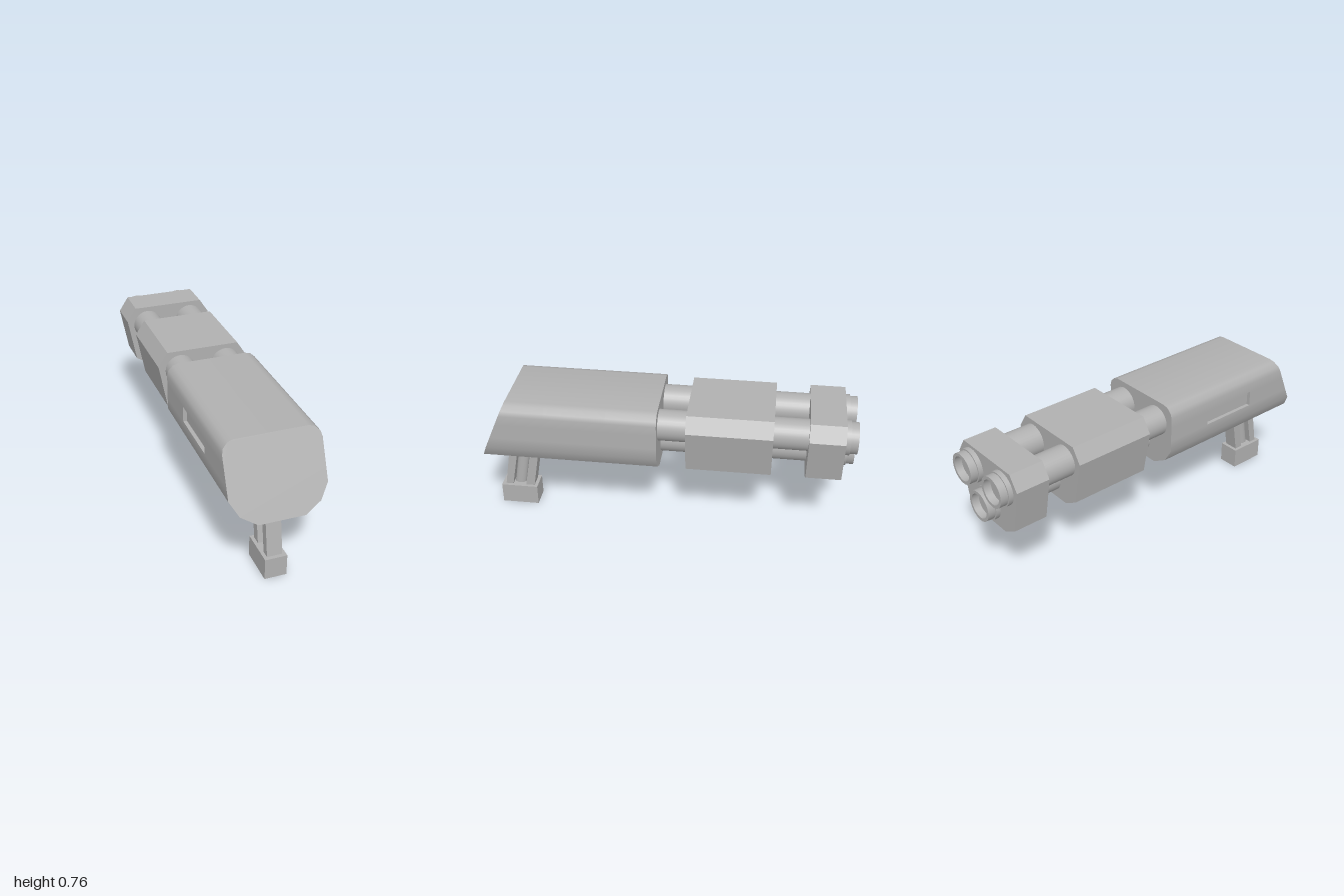
import * as THREE from 'three';

const steel = new THREE.MeshStandardMaterial({ color: 0xb0b0b0 });
steel.name = 'steel grey';

const mirror = (half) => [...half, ...half.map(([x, y]) => [-x, y]).reverse()];
const toShape = (pts) => new THREE.Shape(pts.map(([x, y]) => new THREE.Vector2(x, y)));

// Cross-sections, bottom to top on the +x side, then mirrored
const BODY = mirror([[0.12, 0.375], [0.205, 0.425], [0.25, 0.5], [0.25, 0.565], [0.25, 0.65],
  [0.25, 0.7], [0.242, 0.727], [0.217, 0.75], [0.188, 0.758]]);
const BLOCK = mirror([[0.12, 0.375], [0.205, 0.425], [0.252, 0.67], [0.2, 0.75]]);
const BODY_BACK = 0.03;
const SLOT = { z0: 0.295, z1: 0.62, y0: 0.565, y1: 0.65, depth: 0.02 };
const frontZ = (y) => 1 - (y - 0.375) * 0.43;

// Housing walls: smooth on top and sides, sharp below, with one opening at -x
function housingWalls() {
  const n = BODY.length, pos = [], nor = [];
  const segNormal = (i) => {
    const [ax, ay] = BODY[(i + n) % n], [bx, by] = BODY[(i + 1) % n];
    return new THREE.Vector2(by - ay, ax - bx).normalize();
  };
  const pointNormal = (i, seg) => BODY[i % n][1] < 0.45 ? segNormal(seg)
    : segNormal(i - 1).add(segNormal(i)).normalize();
  const stations = (y) => [BODY_BACK, SLOT.z0, SLOT.z1, frontZ(y)];
  for (let i = 0; i < n; i++) {
    const p = BODY[i], q = BODY[(i + 1) % n];
    const np = pointNormal(i, i), nq = pointNormal(i + 1, i);
    const zp = stations(p[1]), zq = stations(q[1]);
    for (let k = 0; k < 3; k++) {
      if (k === 1 && p[0] < 0 && p[1] === SLOT.y1 && q[1] === SLOT.y0) continue;
      const a = [p, zp[k], np], b = [p, zp[k + 1], np], c = [q, zq[k + 1], nq], d = [q, zq[k], nq];
      for (const [pt, z, nn] of [a, c, b, a, d, c]) {
        pos.push(pt[0], pt[1], z);
        nor.push(nn.x, nn.y, 0);
      }
    }
  }
  const g = new THREE.BufferGeometry();
  g.setAttribute('position', new THREE.Float32BufferAttribute(pos, 3));
  g.setAttribute('normal', new THREE.Float32BufferAttribute(nor, 3));
  return g;
}

// Sloping front plate
function frontPlate() {
  const g = new THREE.ShapeGeometry(toShape(BODY));
  const p = g.attributes.position;
  for (let i = 0; i < p.count; i++) p.setZ(i, frontZ(p.getY(i)));
  g.computeVertexNormals();
  return g;
}

// Inward-facing box without its outer side
function slotPocket() {
  const g = new THREE.BoxGeometry(SLOT.depth, SLOT.y1 - SLOT.y0, SLOT.z1 - SLOT.z0);
  g.scale(-1, 1, 1);
  g.setIndex(Array.from(g.index.array).slice(6));
  g.clearGroups();
  g.computeVertexNormals();
  return g.translate(-0.25 + SLOT.depth / 2, (SLOT.y0 + SLOT.y1) / 2, (SLOT.z0 + SLOT.z1) / 2);
}

// Barrel with a flat rim and a shallow bore, running towards -z
function barrelGeometry() {
  const pairs = [[[0.083, 0], [0.083, 1.03]], [[0.083, 1.03], [0.066, 1.03]],
    [[0.066, 1.03], [0.066, 0.97]], [[0.066, 0.97], [0, 0.97]]];
  return pairs.map((pr) => new THREE.LatheGeometry(pr.map(([r, h]) => new THREE.Vector2(r, h)), 32)
    .rotateX(-Math.PI / 2));
}

// Leaning grip outline with an arched slot, drawn in z and y
function gripFrame() {
  const s = toShape([[0.765, 0.11], [0.93, 0.11], [0.883, 0.385], [0.717, 0.385]]);
  const hole = new THREE.Path();
  hole.moveTo(0.813, 0.115);
  hole.lineTo(0.772, 0.335);
  hole.bezierCurveTo(0.766, 0.383, 0.836, 0.383, 0.846, 0.335);
  hole.lineTo(0.888, 0.115);
  hole.closePath();
  s.holes.push(hole);
  return new THREE.ExtrudeGeometry(s, { depth: 0.08, bevelEnabled: false, curveSegments: 10 })
    .rotateY(-Math.PI / 2).translate(0.04, 0, 0);
}

export function createModel() {
  const model = new THREE.Group();
  model.name = 'tripleBarrelDevice';
  const add = (name, geometry, parent = model) => {
    const m = new THREE.Mesh(geometry, steel);
    m.name = name;
    parent.add(m);
    return m;
  };

  // Main housing
  const housing = new THREE.Group();
  housing.name = 'housing';
  model.add(housing);
  add('housingWalls', housingWalls(), housing);
  add('frontPlate', frontPlate(), housing);
  add('backPlate', new THREE.ShapeGeometry(toShape(BODY)).rotateY(Math.PI).translate(0, 0, BODY_BACK), housing);
  add('sideSlot', slotPocket(), housing);

  // Barrel clamps
  for (const [name, z0, z1] of [['middleClamp', -0.57, -0.12], ['muzzleClamp', -0.935, -0.75]]) {
    add(name, new THREE.ExtrudeGeometry(toShape(BLOCK), { depth: z1 - z0, bevelEnabled: false })
      .translate(0, 0, z0));
  }

  // Three barrels with muzzle collars
  const barrelParts = barrelGeometry();
  const collar = new THREE.CylinderGeometry(0.091, 0.091, 0.03, 32).rotateX(Math.PI / 2);
  [[0.13, 0.643], [-0.13, 0.643], [0, 0.492]].forEach(([x, y], i) => {
    const barrel = new THREE.Group();
    barrel.name = 'barrel' + (i + 1);
    barrel.position.set(x, y, BODY_BACK);
    model.add(barrel);
    ['tube', 'rim', 'bore', 'boreEnd'].forEach((name, k) => add(name, barrelParts[k], barrel));
    add('collar', collar, barrel).position.z = -0.975;
  });

  // Grip with a round core, standing on a foot
  add('gripFrame', gripFrame());
  const core = add('gripCore', new THREE.CylinderGeometry(0.032, 0.032, 0.27, 20));
  core.scale.x = 0.75;
  core.position.set(0, 0.243, 0.829);
  core.rotation.x = -Math.atan(0.175);
  add('gripFoot', new THREE.BoxGeometry(0.116, 0.115, 0.205)).position.set(0, 0.0575, 0.8475);

  return model;
}
